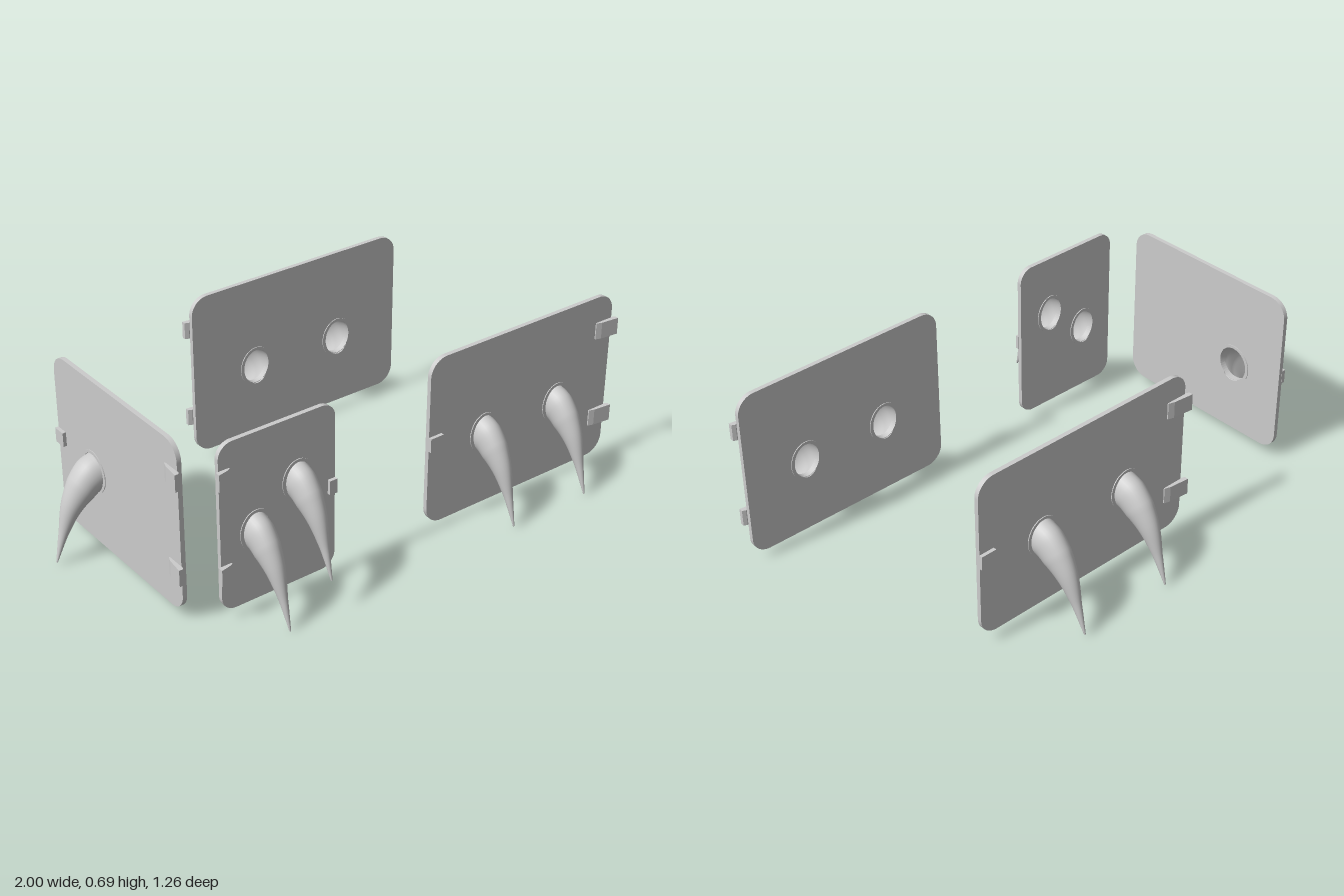
import * as THREE from 'three';

const mat = new THREE.MeshStandardMaterial({ color: 0xcccccc });
const shellMat = new THREE.MeshStandardMaterial({ color: 0xcccccc, side: THREE.DoubleSide });
const T = 0.017; // panel thickness

function add(parent, name, geometry, material = mat) {
  const mesh = new THREE.Mesh(geometry, material);
  mesh.name = name;
  parent.add(mesh);
  return mesh;
}

function extrude(shape, depth) {
  const g = new THREE.ExtrudeGeometry(shape, { depth, bevelEnabled: false, curveSegments: 24 });
  return g.translate(0, 0, -depth / 2);
}

function ellipse(Kind, x, y, rx, ry) {
  const p = new Kind();
  p.absellipse(x, y, rx, ry, 0, Math.PI * 2, false, 0);
  return p;
}

function roundedRect(w, h, r) {
  const s = new THREE.Shape();
  const x = w / 2, y = h / 2, q = Math.PI / 2;
  s.absarc(x - r, y - r, r, 0, q);
  s.absarc(-x + r, y - r, r, q, 2 * q);
  s.absarc(-x + r, -y + r, r, 2 * q, 3 * q);
  s.absarc(x - r, -y + r, r, 3 * q, 4 * q);
  return s;
}

// Hollow tapering horn: elliptical sections swept along a downward curve
function hornGeometry(rx, reach, drift) {
  const path = new THREE.CatmullRomCurve3([
    [-0.008, 0], [0.03, -0.012], [0.075, -0.05], [0.121, -0.108], [0.163, -0.2], [0.203, -0.308],
  ].map(([z, y]) => new THREE.Vector3(0, y, z)));
  const ry = [0.069, 0.068, 0.06, 0.042, 0.02, 0.003];
  const wide = [1, 0.98, 0.88, 0.63, 0.3, 0.06];
  const at = (list, t) => {
    const f = t * (list.length - 1), i = Math.min(Math.floor(f), list.length - 2);
    return THREE.MathUtils.lerp(list[i], list[i + 1], f - i);
  };
  const rings = 30, sides = 32, pos = [], index = [];
  for (let i = 0; i <= rings; i++) {
    const t = i / rings;
    const p = path.getPoint(t), tan = path.getTangent(t);
    if (i === 0) tan.set(0, 0, 1);
    for (let j = 0; j < sides; j++) {
      const a = (j / sides) * Math.PI * 2;
      const u = Math.sin(a) * at(ry, t);
      pos.push(Math.cos(a) * rx * at(wide, t) + drift * t, p.y + u * tan.z, (p.z - u * tan.y) * reach);
      if (i < rings) {
        const b = i * sides + j, c = i * sides + ((j + 1) % sides);
        index.push(b, c, b + sides, c, c + sides, b + sides);
      }
    }
  }
  // closed tip
  const tip = path.getPoint(1), n = pos.length / 3;
  pos.push(drift, tip.y - 0.003, tip.z * reach);
  for (let j = 0; j < sides; j++) {
    index.push(rings * sides + j, rings * sides + ((j + 1) % sides), n);
  }
  const g = new THREE.BufferGeometry();
  g.setAttribute('position', new THREE.Float32BufferAttribute(pos, 3));
  g.setIndex(index);
  g.computeVertexNormals();
  return g;
}

// Panel facing its local +z, with horns given as [x, y] from the panel centre
function makePanel({ name, w, bottom, top, hinge, horns, rx, reach, drift }) {
  const g = new THREE.Group();
  g.name = name;
  const h = top - bottom, mid = (top + bottom) / 2;
  const plate = roundedRect(w, h, w < 0.5 ? 0.055 : 0.068);
  for (const [x, y] of horns) {
    plate.holes.push(ellipse(THREE.Path, x, y - mid, rx, 0.067));
    const ring = ellipse(THREE.Shape, 0, 0, rx + 0.013, 0.078);
    ring.holes.push(ellipse(THREE.Path, 0, 0, rx, 0.067));
    add(g, 'hornCollar', extrude(ring, T + 0.006)).position.set(x, y, 0);
    add(g, 'horn', hornGeometry(rx, reach, drift), shellMat).position.set(x, y, 0);
  }
  add(g, 'panel', extrude(plate, T)).position.y = mid;

  // hinge straps rise from the face and overhang the panel edge
  const strap = new THREE.Shape([
    [-0.09 * w, 0], [0, 0], [0.004, -0.002], [0.02 * w, 0.004], [0.02 * w, 0.019], [-0.065 * w, 0.011], [-0.09 * w, 0.004],
  ].map(([x, y]) => new THREE.Vector2(x, y)));
  for (const y of [0.552, 0.192]) {
    const geo = extrude(strap, 0.064).rotateX(Math.PI / 2);
    // keep the strap profile rising toward the panel's front
    const m = add(g, 'hingeStrap', geo);
    m.position.set(hinge * w / 2, y, T / 2);
    if (hinge < 0) {
      const mirrored = new THREE.Shape(strap.getPoints().map((p) => new THREE.Vector2(-p.x, p.y)));
      m.geometry = extrude(mirrored, 0.064).rotateX(Math.PI / 2);
    }
  }

  // latch on the opposite edge
  const tabW = 0.066 * w;
  add(g, 'latchTab', new THREE.BoxGeometry(tabW, 0.054, 0.016))
    .position.set(-hinge * (w / 2 - tabW / 2 + 0.001), 0.362, T / 2 + 0.005);
  return g;
}

export function createModel() {
  const model = new THREE.Group();
  model.name = 'hornedPanels';
  const place = (spec, x, z, turn) => {
    const p = makePanel(spec);
    p.position.set(x, 0, z);
    p.rotation.y = turn;
    model.add(p);
  };
  place({ name: 'frontLeftPanel', w: 0.85, bottom: 0.03, top: 0.686, hinge: 1,
    horns: [[-0.17, 0.32], [0.174, 0.32]], rx: 0.052, reach: 0.87, drift: 0.008 }, 0.553, 0.4485, 0);
  place({ name: 'frontRightPanel', w: 0.459, bottom: 0.043, top: 0.677, hinge: -1,
    horns: [[-0.089, 0.311], [0.08, 0.438]], rx: 0.051, reach: 0.87, drift: 0.008 }, -0.507, 0.4485, 0);
  place({ name: 'backPanel', w: 0.93, bottom: 0.042, top: 0.677, hinge: 1,
    horns: [[0.19, 0.322], [-0.19, 0.322]], rx: 0.055, reach: 1.01, drift: 0.008 }, 0.2155, -0.4205, Math.PI);
  place({ name: 'rightPanel', w: 0.75, bottom: 0.037, top: 0.68, hinge: 1,
    horns: [[-0.151, 0.321]], rx: 0.063, reach: 0.85, drift: -0.007 }, 0.002 - 0.829, 0.002, -Math.PI / 2);
  return model;
}
